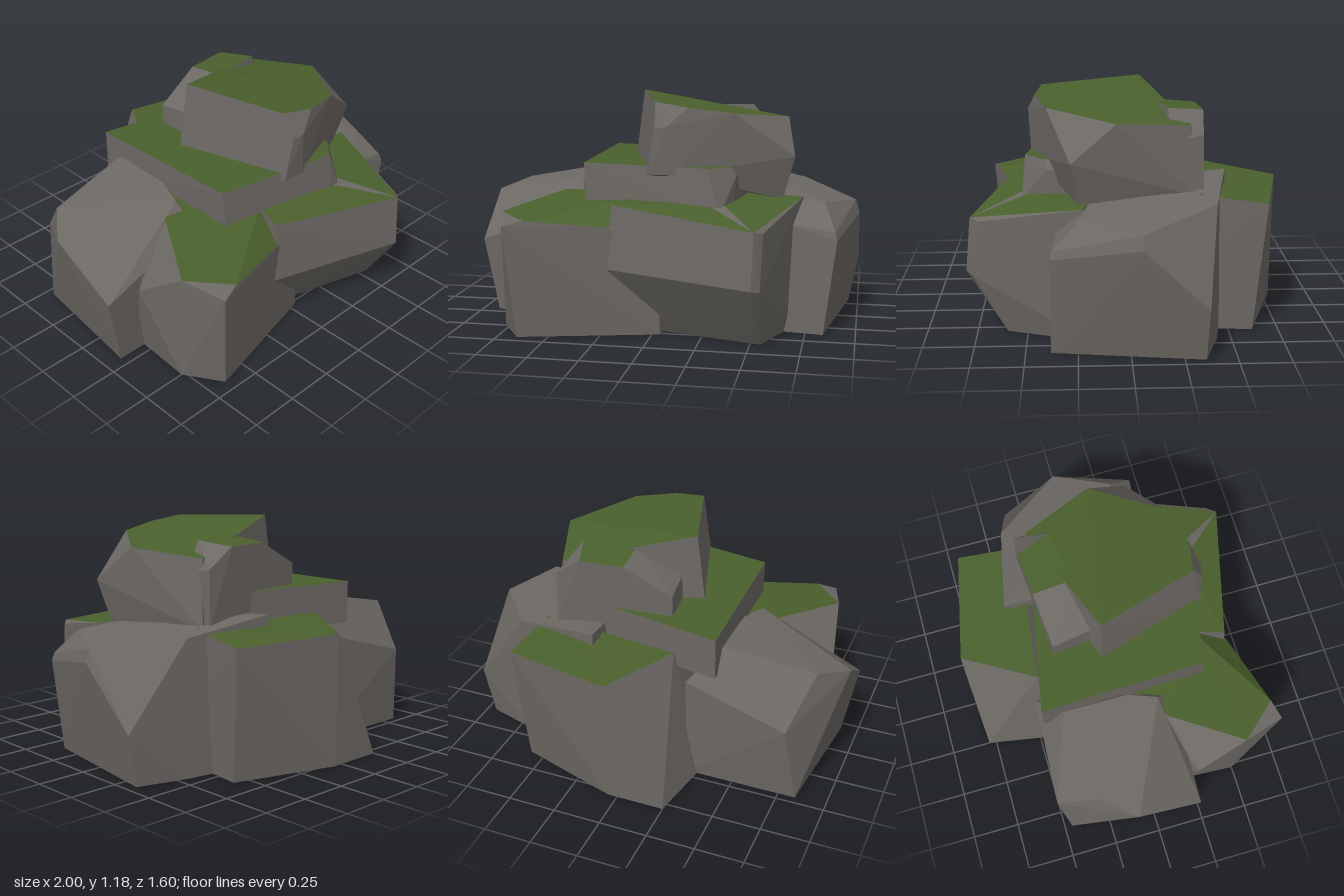
import * as THREE from 'three';
import { ConvexGeometry } from 'three/addons/geometries/ConvexGeometry.js';

const stone = new THREE.MeshStandardMaterial({ color: 0x6c6864 });
stone.name = 'stone';
const moss = new THREE.MeshStandardMaterial({ color: 0x4a602d });
moss.name = 'moss';

// Faceted boulder: the hull of its corners; mossy(normal, centre) picks the green facets
function boulder(name, corners, mossy = () => false) {
  const p = new ConvexGeometry(corners.map(c => new THREE.Vector3(...c))).attributes.position;
  const sides = [], tops = [];
  const tri = new THREE.Triangle(), normal = new THREE.Vector3(), centre = new THREE.Vector3();
  for (let i = 0; i < p.count; i += 3) {
    tri.setFromAttributeAndIndices(p, i, i + 1, i + 2);
    const list = mossy(tri.getNormal(normal), tri.getMidpoint(centre)) ? tops : sides;
    for (const v of [tri.a, tri.b, tri.c]) list.push(v.x, v.y, v.z);
  }
  const geo = new THREE.BufferGeometry();
  geo.setAttribute('position', new THREE.Float32BufferAttribute([...sides, ...tops], 3));
  geo.addGroup(0, sides.length / 3, 0);
  geo.addGroup(sides.length / 3, tops.length / 3, 1);
  geo.computeVertexNormals();
  const mesh = new THREE.Mesh(geo, [stone, moss]);
  mesh.name = name;
  return mesh;
}

const upward = n => n.y > 0.8;

export function createModel() {
  const group = new THREE.Group();
  group.name = 'rockPile';
  group.add(
    // Front boulder with an undercut face and a bare strip along its top ridge
    boulder('frontBoulder', [
      [-0.19, 0.66, 0.58], [0.53, 0.585, 0.775], [0.57, 0.575, 0.73], [0.72, 0.67, 0.22], [-0.04, 0.69, 0.05],
      [0.27, 0.662, 0.5], [0.34, 0.664, 0.47],
      [-0.21, 0.34, 0.6], [0.52, 0.31, 0.8], [0.56, 0.3, 0.77],
      [-0.12, 0, 0.41], [0.55, 0, 0.6], [0.7, 0, 0.2], [0, 0, 0],
    ], (n, c) => n.y > 0.8 && !(c.x > 0.3 && c.z > 0.55)),
    // Low mossy boulder on the front right, its outer corner bare
    boulder('frontRightBoulder', [
      [-0.77, 0.6, 0.52], [-0.7, 0.565, 0.74], [-0.6, 0.59, 0.71], [-0.2, 0.55, 0.6], [-0.12, 0.67, 0.4],
      [-0.55, 0.66, 0.16], [-0.4, 0.67, 0], [-0.82, 0.42, 0.26], [0.03, 0.4, 0.53],
      [-0.77, 0, 0.5], [-0.65, 0, 0.69], [0.04, 0, 0.52], [0.1, 0, 0], [-0.75, 0, 0.15],
    ], (n, c) => n.y > 0.65 && c.z < 0.64),
    // Bare boulder on the left
    boulder('leftBoulder', [
      [0.24, 0.75, -0.51], [0.69, 0.68, -0.42], [0.98, 0.62, -0.05], [0.83, 0.65, 0.24], [0.6, 0.67, 0.2],
      [1, 0.55, -0.05], [0.89, 0.52, 0.37], [0.9, 0.48, 0.38], [0.66, 0.55, 0.35], [1, 0.26, -0.36],
      [0.24, 0, -0.51], [0.69, 0, -0.43], [0.95, 0, -0.35], [0.84, 0, 0.38],
      [0.6, 0, 0.35], [0.2, 0, 0.1], [0.25, 0.7, 0],
    ]),
    // Bare boulder on the right
    boulder('rightBoulder', [
      [-1, 0.61, -0.13], [-0.87, 0.66, -0.3], [-0.4, 0.74, -0.36], [-0.4, 0.73, -0.02], [-0.45, 0.71, 0.13],
      [-0.98, 0.39, 0.22], [-0.42, 0.59, 0.22], [-0.78, 0.42, -0.51], [-0.25, 0.57, -0.48],
      [-0.91, 0, 0.2], [-0.84, 0, -0.46], [-0.25, 0, -0.46], [-0.3, 0, 0.2],
    ]),
    // Back boulder with a slanting corner facet
    boulder('backBoulder', [
      [0.05, 0.67, -0.8], [0.62, 0.66, -0.68], [0.57, 0.7, -0.35], [-0.17, 0.7, -0.44],
      [-0.25, 0, -0.79], [0.05, 0, -0.79], [0.58, 0, -0.62], [0.5, 0, 0.1], [-0.32, 0, -0.4], [-0.35, 0, 0.1],
    ], upward),
    // Flat slab resting across the lower boulders
    boulder('middleSlab', [
      [-0.4, 0.84, -0.47], [0.51, 0.84, -0.3], [0.37, 0.835, 0.41], [0.27, 0.84, 0.51], [-0.375, 0.84, 0.39],
      [0.4, 0.79, 0.4],
      [-0.4, 0.62, -0.47], [0.52, 0.62, -0.3], [0.39, 0.62, 0.41], [0.34, 0.62, 0.53], [0.27, 0.62, 0.53], [-0.365, 0.62, 0.4],
    ], upward),
    // Large tilted stone on top
    boulder('topStone', [
      [-0.16, 1.18, -0.09], [0.49, 1.025, -0.31], [0.63, 1.06, 0.06], [0.39, 1.1, 0.4], [0.17, 1.13, 0.46], [0, 1.155, 0.43],
      [0.01, 1.03, 0.49], [0.07, 1.04, 0.5], [0.68, 0.88, 0.28],
      [-0.21, 0.8, -0.1], [-0.03, 0.8, 0.48], [0.1, 0.8, 0.485], [0.62, 0.66, 0.24], [0.52, 0.68, -0.34],
    ], upward),
    // Small stone tucked behind the top one
    boulder('smallBackStone', [
      [0.13, 1.08, -0.36], [0.36, 1.08, -0.38], [0.42, 1.1, -0.2], [0.14, 1.1, -0.15],
      [-0.12, 0.95, -0.33], [-0.09, 0.96, -0.12], [0.5, 0.98, -0.37], [0.51, 0.95, -0.22],
      [-0.12, 0.7, -0.33], [-0.1, 0.7, -0.1], [0.5, 0.7, -0.375], [0.5, 0.7, -0.15],
    ], n => n.y > 0.9),
  );
  return group;
}
